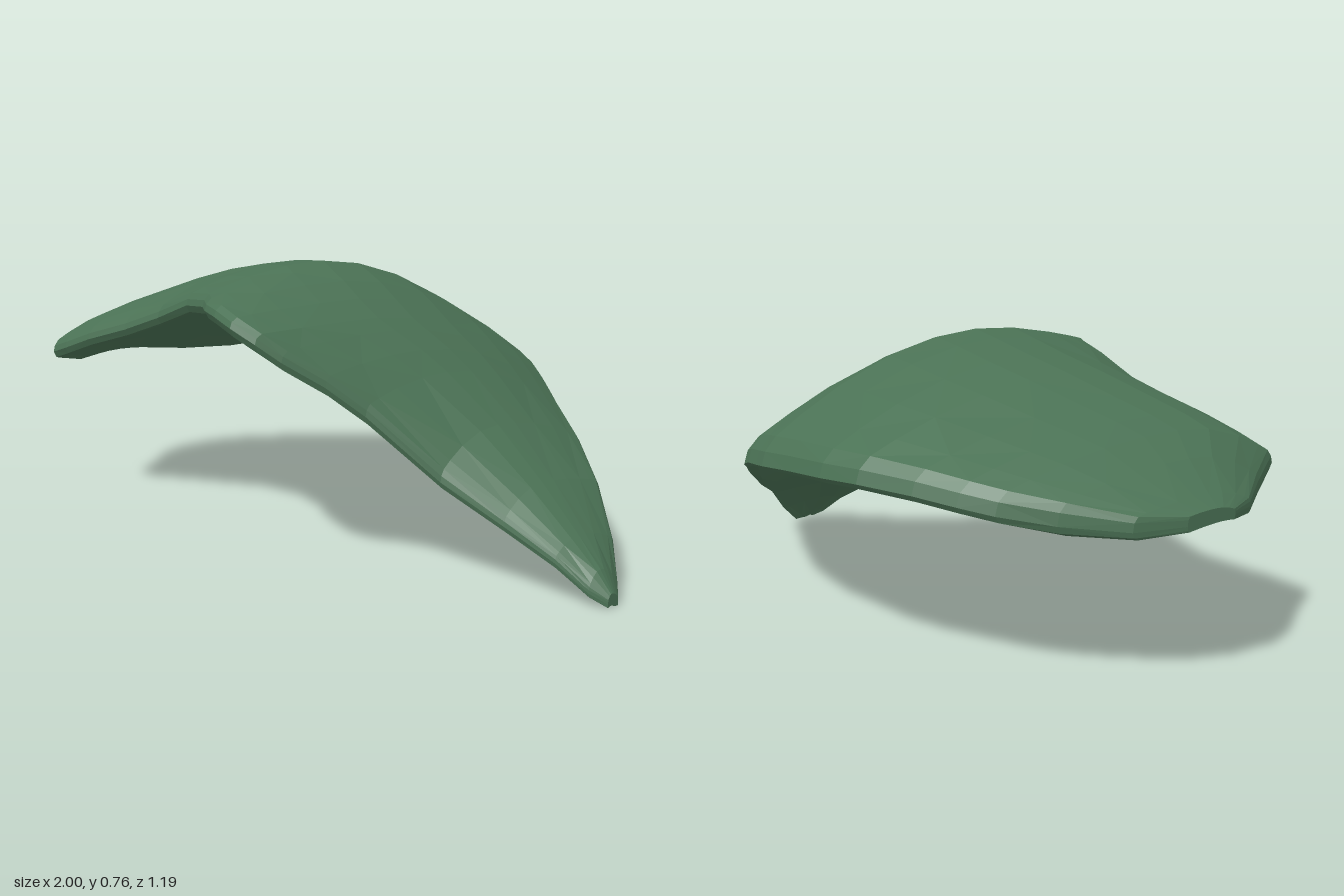
import * as THREE from 'three';

// Cross-sections along x: [x, zBack, zFront, yBack, yCrown, yFront]
const SECTIONS = [
  [-1, 0, 0.15, 0.43, 0.44, 0.43],
  [-0.96, -0.13, 0.24, 0.435, 0.465, 0.435],
  [-0.86, -0.27, 0.37, 0.46, 0.53, 0.455],
  [-0.77, -0.38, 0.505, 0.48, 0.58, 0.485],
  [-0.7, -0.44, 0.505, 0.495, 0.61, 0.505],
  [-0.6, -0.5, 0.485, 0.51, 0.645, 0.54],
  [-0.46, -0.57, 0.45, 0.52, 0.695, 0.58],
  [-0.33, -0.6, 0.422, 0.515, 0.73, 0.625],
  [-0.15, -0.6, 0.45, 0.5, 0.755, 0.68],
  [0, -0.6, 0.505, 0.485, 0.765, 0.695],
  [0.07, -0.585, 0.55, 0.475, 0.752, 0.695],
  [0.15, -0.57, 0.58, 0.465, 0.725, 0.69],
  [0.23, -0.545, 0.592, 0.445, 0.685, 0.67],
  [0.3, -0.515, 0.57, 0.425, 0.64, 0.635],
  [0.34, -0.49, 0.52, 0.41, 0.61, 0.59],
  [0.4, -0.455, 0.43, 0.38, 0.56, 0.525],
  [0.46, -0.415, 0.35, 0.355, 0.505, 0.45],
  [0.6, -0.33, 0.225, 0.295, 0.38, 0.285],
  [0.75, -0.22, 0.155, 0.22, 0.255, 0.185],
  [0.88, -0.115, 0.115, 0.115, 0.15, 0.11],
  [0.96, -0.03, 0.085, 0.04, 0.085, 0.045],
  [1, 0.02, 0.06, 0.02, 0.035, 0.02],
];
const STEPS = [0.04, 0.11, 0.22, 0.36, 0.5, 0.62, 0.74, 0.86, 0.94, 0.98];
// Rounded rims as [u, drop below the upper skin]; the back rim is the deeper one
const BACK_RIM = [[0.012, 0.065], [0, 0.045], [0.01, 0.015]];
const FRONT_RIM = [[0.995, 0.01], [1, 0.025], [0.99, 0.048]];
const CROWN = 0.64;

// Height of the domed upper skin at u (0 = back rim, 1 = front rim)
function height(u, yBack, yCrown, yFront) {
  return u < CROWN
    ? yCrown - (yCrown - yBack) * ((CROWN - u) / CROWN) ** 1.9
    : yCrown - (yCrown - yFront) * ((u - CROWN) / (1 - CROWN)) ** 2;
}

// Closed loop: back rim, upper skin, front rim, underside
function sectionLoop([x, zb, zf, yb, yc, yf]) {
  const { lerp } = THREE.MathUtils;
  const slim = Math.min(1, 0.35 + zf - zb); // thinner towards both ends
  const skin = (u) => height(u, yb, yc, yf);
  const point = (u, y) => new THREE.Vector3(x, Math.max(0, y), lerp(zb, zf, u));
  const dropped = ([u, drop]) => point(u, skin(u) - drop * slim);
  // The underside is a shallower hollow, halfway between the dome and a flat floor
  const under = (u) => {
    const thickness = lerp(0.075, 0.05, u) * slim;
    return point(u, lerp(skin(u), lerp(yb, yf, u), 0.5) - thickness);
  };
  return [
    ...BACK_RIM.map(dropped),
    ...STEPS.map((u) => point(u, skin(u))),
    ...FRONT_RIM.map(dropped),
    ...[...STEPS].reverse().map(under),
  ];
}

// Skin the loops into one closed, faceted shell
function shellGeometry() {
  const loops = SECTIONS.map(sectionLoop);
  const n = loops[0].length;
  const positions = [];
  const tri = (...corners) => corners.forEach((p) => positions.push(p.x, p.y, p.z));
  for (let i = 0; i < loops.length - 1; i++) {
    for (let j = 0; j < n; j++) {
      const k = (j + 1) % n;
      const a = loops[i][j], b = loops[i][k], c = loops[i + 1][k], d = loops[i + 1][j];
      if ((i + j) % 2) {
        tri(a, b, c);
        tri(a, c, d);
      } else {
        tri(a, b, d);
        tri(b, c, d);
      }
    }
  }
  // End caps
  const centre = (loop) => loop.reduce((s, p) => s.add(p), new THREE.Vector3()).divideScalar(n);
  const first = loops[0], last = loops[loops.length - 1];
  const c0 = centre(first), c1 = centre(last);
  for (let j = 0; j < n; j++) {
    const k = (j + 1) % n;
    tri(c0, first[k], first[j]);
    tri(c1, last[j], last[k]);
  }
  const geometry = new THREE.BufferGeometry();
  geometry.setAttribute('position', new THREE.Float32BufferAttribute(positions, 3));
  geometry.computeVertexNormals(); // unshared corners give flat facets
  return geometry;
}

export function createModel() {
  const green = new THREE.MeshStandardMaterial({ color: 0x4b7255 });
  green.name = 'mossGreen';
  const shell = new THREE.Mesh(shellGeometry(), green);
  shell.name = 'curvedShell';
  const model = new THREE.Group();
  model.name = 'curvedPlate';
  model.add(shell);
  return model;
}
